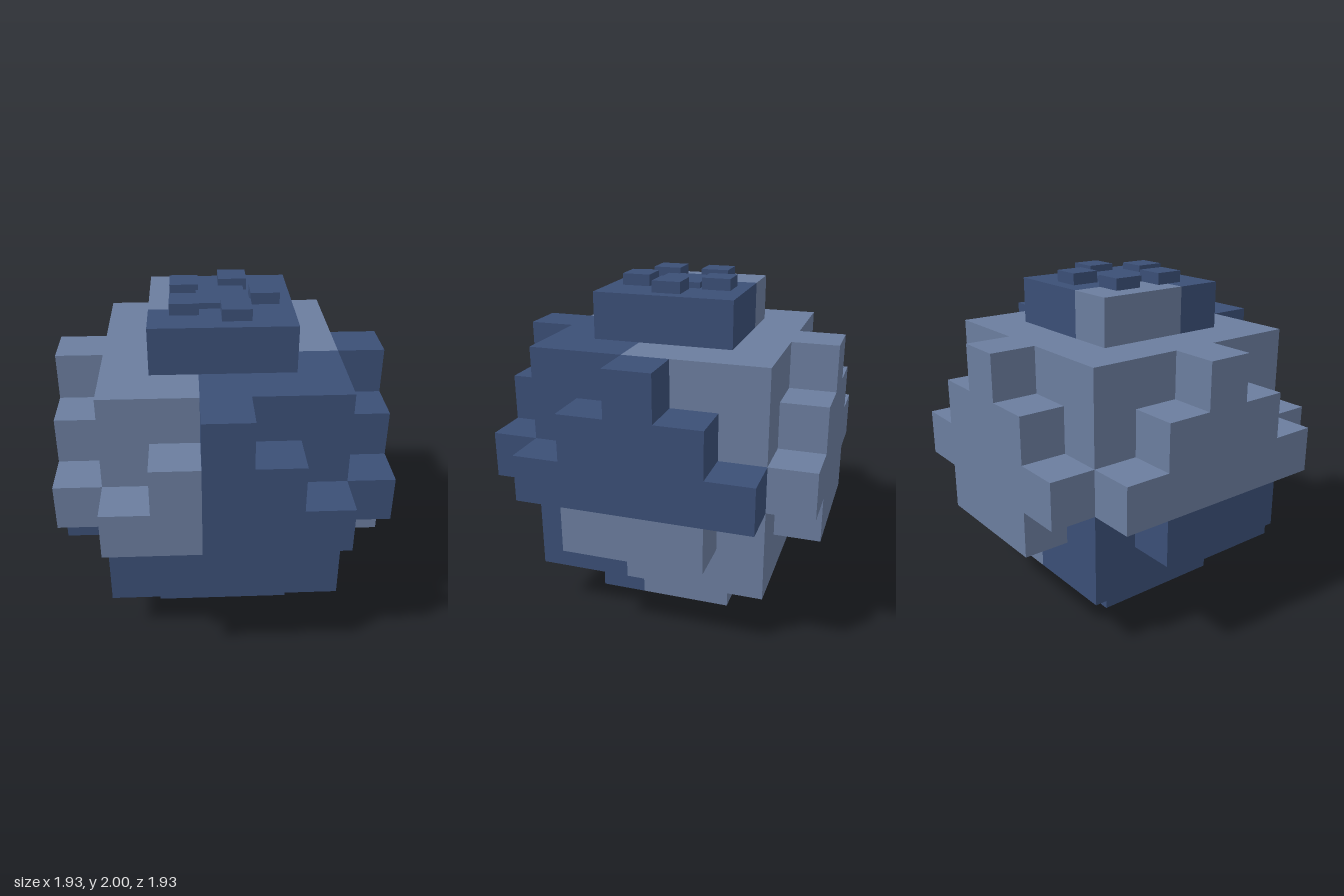
import * as THREE from 'three';
import { mergeGeometries } from 'three/addons/utils/BufferGeometryUtils.js';

const CELL = 0.276;
const dark = new THREE.MeshStandardMaterial({ color: 0x3b4f76 });
dark.name = 'dark blue';
const light = new THREE.MeshStandardMaterial({ color: 0x6b7d9e });
light.name = 'pale blue';

// outward directions of a cube's faces
const DIRS = [[1, 0, 0], [-1, 0, 0], [0, 1, 0], [0, -1, 0], [0, 0, 1], [0, 0, -1]];
const key = (x, y, z) => `${x},${y},${z}`;

function faceGeometry([x, y, z], dir) {
  const g = new THREE.PlaneGeometry(CELL, CELL);
  const n = new THREE.Vector3(...dir);
  g.applyQuaternion(new THREE.Quaternion().setFromUnitVectors(
    new THREE.Vector3(0, 0, 1), n));
  return g.translate((x + dir[0] / 2) * CELL, (y + 0.5 + dir[1] / 2) * CELL, (z + dir[2] / 2) * CELL);
}

// solid block of cells, each entry [x, y, z]
function block(half, y0, y1) {
  const cells = [];
  for (let y = y0; y <= y1; y++)
    for (let x = -half; x <= half; x++)
      for (let z = -half; z <= half; z++) cells.push([x, y, z]);
  return cells;
}

// stepped side plate: half-width per row, placed by a function of the offset
function plate(place) {
  const cells = [];
  [[2, 1], [3, 2], [4, 1], [5, 0]].forEach(([y, half]) => {
    for (let t = -half; t <= half; t++) {
      const [x, z] = place(t);
      cells.push([x, y, z]);
    }
  });
  return cells;
}

export function createModel() {
  const model = new THREE.Group();
  model.name = 'blockBerry';

  // upper half is pale except one quadrant, lower half dark except another
  const bodyPale = (x, y, z) => (y >= 3 ? !(x >= 0 && z >= 1) : x >= 0 && z <= 0);

  const parts = [
    { name: 'body', cells: block(2, 1, 5), pale: bodyPale },
    { name: 'base', cells: block(1, 0, 0), pale: bodyPale },
    { name: 'cap', cells: block(1, 6, 6), pale: (x, y, z) => x === -1 && z <= 0 },
    { name: 'frontPlate', cells: plate(t => [t, 3]), pale: (x, y) => y >= 3 && x < 0 },
    { name: 'backPlate', cells: plate(t => [t, -3]), pale: () => true },
    { name: 'leftPlate', cells: plate(t => [3, t]), pale: (x, y) => y < 3 },
    { name: 'rightPlate', cells: plate(t => [-3, t]), pale: (x, y) => y >= 3 },
  ];
  const filled = new Set(parts.flatMap(p => p.cells.map(c => key(...c))));

  // keep only the exposed faces, one mesh per colour of a part
  for (const part of parts) {
    const group = new THREE.Group();
    group.name = part.name;
    for (const material of [dark, light]) {
      const faces = [];
      for (const c of part.cells) {
        if ((part.pale(...c) ? light : dark) !== material) continue;
        for (const d of DIRS) {
          if (!filled.has(key(c[0] + d[0], c[1] + d[1], c[2] + d[2]))) faces.push(faceGeometry(c, d));
        }
      }
      if (!faces.length) continue;
      const mesh = new THREE.Mesh(mergeGeometries(faces), material);
      mesh.name = part.name + (material === dark ? 'Dark' : 'Pale');
      group.add(mesh);
    }
    model.add(group);
  }

  // crown: a low centre tile with five square sepals around it
  const top = 7 * CELL;
  const tile = (name, x, z, size, height) => {
    const mesh = new THREE.Mesh(new THREE.BoxGeometry(size, height, size), dark);
    mesh.name = name;
    mesh.position.set(x, top + height / 2, z);
    model.add(mesh);
  };
  tile('crownCentre', 0, 0, 0.28, 0.034);
  [[0.255, 0], [0.08, -0.245], [0.08, 0.245], [-0.21, -0.155], [-0.21, 0.15]]
    .forEach(([x, z]) => tile('sepal', x, z, 0.168, 2 - top));

  return model;
}
